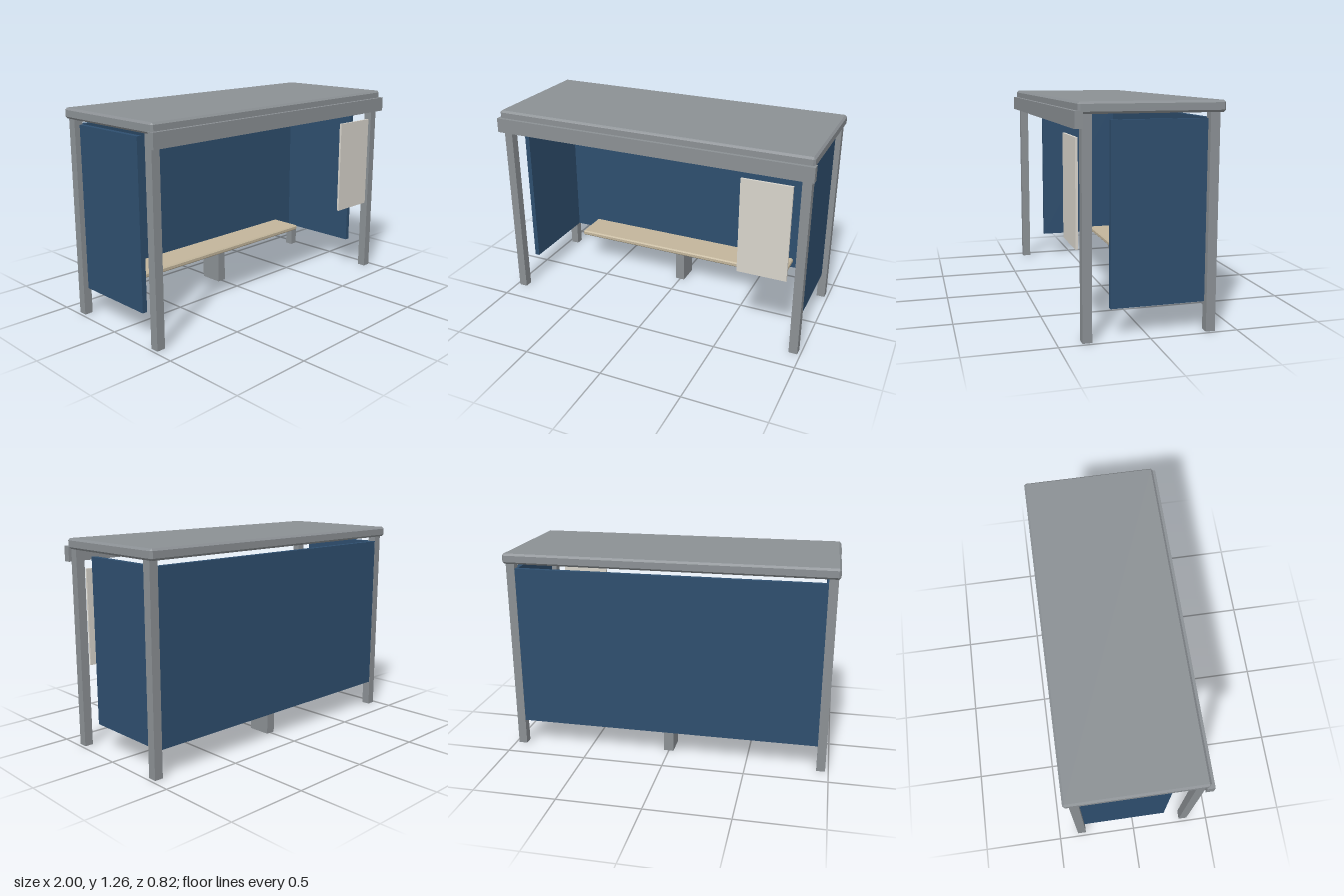
import * as THREE from 'three';
import { ConvexGeometry } from 'three/addons/geometries/ConvexGeometry.js';

const metal = new THREE.MeshStandardMaterial({ color: 0x8b9094 });
const glass = new THREE.MeshStandardMaterial({ color: 0x2e4e6e });
const paper = new THREE.MeshStandardMaterial({ color: 0xd8d4cb });
const wood = new THREE.MeshStandardMaterial({ color: 0xc2b59b });

// Box with every edge chamfered, as the hull of three shrunken boxes
function chamferedBox(w, h, d, c) {
  const points = [];
  for (const sx of [-1, 1]) for (const sy of [-1, 1]) for (const sz of [-1, 1]) {
    const x = w / 2, y = h / 2, z = d / 2;
    points.push(
      new THREE.Vector3(sx * x, sy * (y - c), sz * (z - c)),
      new THREE.Vector3(sx * (x - c), sy * y, sz * (z - c)),
      new THREE.Vector3(sx * (x - c), sy * (y - c), sz * z),
    );
  }
  return new ConvexGeometry(points);
}

export function createModel() {
  const group = new THREE.Group();

  // Adds a block given its extents on each axis
  function block(name, material, [x0, x1], [y0, y1], [z0, z1], chamfer = 0) {
    const w = x1 - x0, h = y1 - y0, d = z1 - z0;
    const geometry = chamfer ? chamferedBox(w, h, d, chamfer) : new THREE.BoxGeometry(w, h, d);
    const mesh = new THREE.Mesh(geometry, material);
    mesh.name = name;
    mesh.position.set((x0 + x1) / 2, (y0 + y1) / 2, (z0 + z1) / 2);
    group.add(mesh);
  }

  // Corner posts and side panels, mirrored
  for (const [side, s] of [['left', 1], ['right', -1]]) {
    const span = (a, b) => (s > 0 ? [a, b] : [-b, -a]);
    block(side + 'FrontPost', metal, span(0.928, 0.981), [0, 1.195], [0.316, 0.369]);
    block(side + 'BackPost', metal, span(0.928, 0.981), [0, 1.195], [-0.377, -0.324]);
    block(side + 'Panel', glass, span(0.918, 0.948), [0.163, 1.16], [-0.345, 0.207]);
  }

  // Back panel between the rear posts
  block('backPanel', glass, [-0.93, 0.93], [0.163, 1.16], [-0.375, -0.345]);

  // Roof slab and the fascia beam along the front
  block('roof', metal, [-0.992, 0.992], [1.193, 1.256], [-0.407, 0.388], 0.012);
  block('fascia', metal, [-1, 1], [1.121, 1.21], [0.365, 0.409]);

  // Bench on a single pedestal
  block('benchSeat', wood, [-0.747, 0.747], [0.207, 0.24], [-0.335, -0.115], 0.008);
  block('benchPedestal', metal, [-0.03, 0.03], [0, 0.207], [-0.297, -0.149]);

  // Blank notice board
  block('noticeBoard', paper, [0.585, 0.885], [0.482, 1.07], [0.366, 0.38]);

  return group;
}
